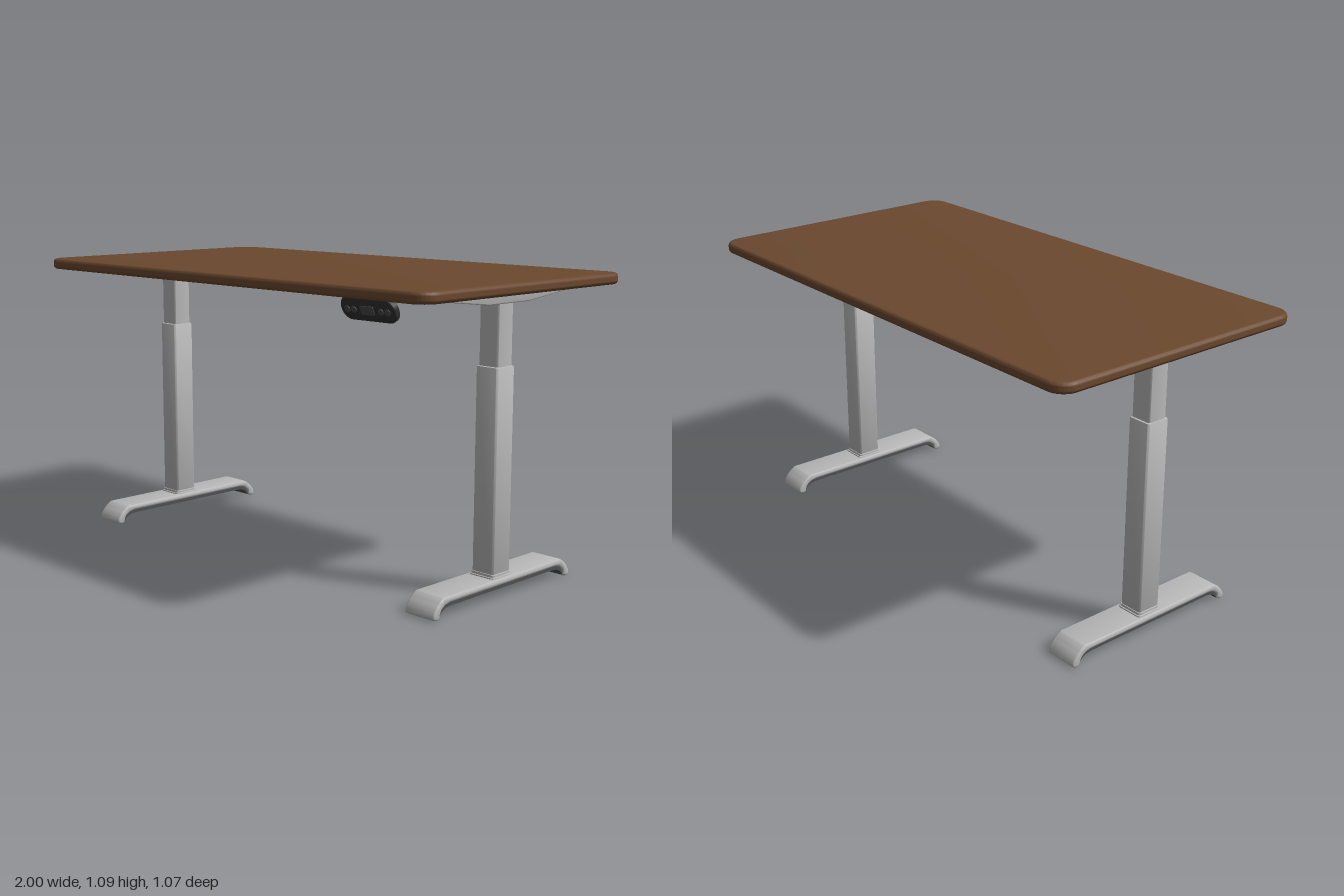
import * as THREE from 'three';
import { toCreasedNormals } from 'three/addons/utils/BufferGeometryUtils.js';

const mat = (name, color) => {
  const m = new THREE.MeshStandardMaterial({ color });
  m.name = name;
  return m;
};

// Rounded rectangle centred on the origin
function roundedRect(w, h, r) {
  const s = new THREE.Shape(), x = w / 2, y = h / 2, q = Math.PI / 2;
  s.absarc(x - r, y - r, r, 0, q);
  s.absarc(-x + r, y - r, r, q, 2 * q);
  s.absarc(-x + r, -y + r, r, 2 * q, 3 * q);
  s.absarc(x - r, -y + r, r, 3 * q, 4 * q);
  return s;
}

// Extrusion centred on z whose bevel stays inside the outline and depth
function extrude(shape, depth, bevel, segments = 4) {
  const g = new THREE.ExtrudeGeometry(shape, {
    depth: depth - 2 * bevel, curveSegments: 8, bevelEnabled: bevel > 0,
    bevelThickness: bevel, bevelSize: bevel, bevelOffset: -bevel, bevelSegments: segments,
  });
  g.translate(0, 0, -(depth - 2 * bevel) / 2);
  return toCreasedNormals(g, 0.6);
}

// Upright rounded block between heights y0 and y1
function block(w, d, y0, y1, r, bevel, segments) {
  const g = extrude(roundedRect(w, d, r), y1 - y0, bevel, segments);
  g.rotateX(-Math.PI / 2);
  return g.translate(0, (y0 + y1) / 2, 0);
}

// Side profile drawn as (z, y), extruded across x
const sideProfile = (shape, width, bevel) => extrude(shape, width, bevel, 3).rotateY(-Math.PI / 2);

function add(parent, name, geometry, material, x = 0, y = 0, z = 0) {
  const m = new THREE.Mesh(geometry, material);
  m.name = name;
  m.position.set(x, y, z);
  parent.add(m);
  return m;
}

export function createModel() {
  const wood = mat('brown wood', 0x6b482e);
  const metal = mat('grey metal', 0xb9b9b9);
  const rubber = mat('dark rubber', 0x505052);
  const plastic = mat('black plastic', 0x2f2f31);
  const button = mat('button grey', 0x48484a);

  const desk = new THREE.Group();
  desk.name = 'desk';
  add(desk, 'tabletop', block(2, 1.07, 1.05, 1.09, 0.07, 0.014, 4), wood);

  // Foot: flat beam with ends curving down to the floor
  const foot = new THREE.Shape();
  foot.moveTo(-0.318, 0.073);
  foot.lineTo(0.318, 0.073);
  foot.bezierCurveTo(0.335, 0.066, 0.368, 0.04, 0.372, 0.014);
  foot.quadraticCurveTo(0.372, 0.002, 0.356, 0.002);
  foot.quadraticCurveTo(0.343, 0.002, 0.341, 0.012);
  foot.quadraticCurveTo(0.335, 0.046, 0.29, 0.05);
  foot.lineTo(-0.29, 0.05);
  foot.quadraticCurveTo(-0.335, 0.046, -0.341, 0.012);
  foot.quadraticCurveTo(-0.343, 0.002, -0.356, 0.002);
  foot.quadraticCurveTo(-0.372, 0.002, -0.372, 0.014);
  foot.bezierCurveTo(-0.368, 0.04, -0.335, 0.066, -0.318, 0.073);
  const footGeo = sideProfile(foot, 0.13, 0.008);

  // Pad filling the underside of the foot
  const pad = new THREE.Shape();
  pad.moveTo(-0.29, 0.055);
  pad.quadraticCurveTo(-0.34, 0.05, -0.348, 0.008);
  pad.lineTo(-0.34, 0.008);
  pad.quadraticCurveTo(-0.325, 0.036, -0.28, 0.037);
  pad.lineTo(0.28, 0.037);
  pad.quadraticCurveTo(0.325, 0.036, 0.34, 0.008);
  pad.lineTo(0.348, 0.008);
  pad.quadraticCurveTo(0.34, 0.05, 0.29, 0.055);
  const padGeo = sideProfile(pad, 0.114, 0);

  // Bracket tapering towards both ends under the tabletop
  const bracket = new THREE.Shape();
  bracket.moveTo(-0.365, 1.051);
  bracket.quadraticCurveTo(-0.34, 1.038, -0.29, 1.034);
  bracket.lineTo(-0.11, 1.013);
  bracket.lineTo(0.11, 1.013);
  bracket.lineTo(0.29, 1.034);
  bracket.quadraticCurveTo(0.34, 1.038, 0.365, 1.051);
  const bracketGeo = sideProfile(bracket, 0.115, 0.004);

  for (const side of [-1, 1]) {
    const leg = new THREE.Group();
    leg.name = side > 0 ? 'leftLeg' : 'rightLeg';
    leg.position.x = side * 0.85;
    desk.add(leg);
    add(leg, 'foot', footGeo, metal);
    add(leg, 'footPad', padGeo, rubber);
    // Stepped weld collar flaring onto the foot
    add(leg, 'weldCollarBase', block(0.108, 0.112, 0.068, 0.078, 0.014, 0.004, 2), metal);
    add(leg, 'weldCollarTop', block(0.099, 0.102, 0.07, 0.087, 0.012, 0.003, 2), metal);
    add(leg, 'lowerColumn', block(0.092, 0.096, 0.06, 0.8, 0.01, 0.007, 2), metal);
    add(leg, 'upperColumn', block(0.082, 0.08, 0.78, 1.02, 0.009, 0, 1), metal);
    add(leg, 'topBracket', bracketGeo, metal);

    // Cross plate and link joining the rail to the bracket
    add(desk, 'crossPlate', block(0.05, 0.5, 1.034, 1.051, 0.006, 0.002, 1), metal, side * 0.71);
    add(desk, 'railLink', block(0.24, 0.08, 1.029, 1.05, 0.004, 0.002, 1), metal, side * 0.7);
    const boss = new THREE.CylinderGeometry(0.025, 0.02, 0.018, 20);
    add(desk, 'railBoss', boss, metal, side * 0.46, 1.024, 0);
  }

  // Shallow rail along the middle of the underside
  add(desk, 'centreRail', block(1.22, 0.14, 1.032, 1.051, 0.004, 0.002, 1), metal);

  // Tilted control panels, one on each long edge
  const panels = [['frontPanel', 0.623, 0.375, 0.245, 0], ['backPanel', -0.647, -0.375, 0.28, Math.PI]];
  for (const [name, x, z, width, turn] of panels) {
    const panel = new THREE.Group();
    panel.name = name;
    panel.position.set(x, 1.001, z);
    panel.rotation.y = turn;
    desk.add(panel);
    const face = new THREE.Group();
    face.name = 'panelFace';
    face.rotation.x = 0.4;
    panel.add(face);
    add(face, 'panelBody', extrude(roundedRect(width, 0.086, 0.04), 0.026, 0.008), plastic);
    add(face, 'display', extrude(roundedRect(0.06, 0.032, 0.006), 0.004, 0), button, 0, 0, 0.0135);
    for (const i of [-3, -2, 2, 3]) {
      const disc = new THREE.CylinderGeometry(0.012, 0.012, 0.004, 16).rotateX(Math.PI / 2);
      add(face, 'panelButton', disc, button, i * 0.03, 0, 0.0135);
    }
    add(panel, 'panelMount', new THREE.BoxGeometry(0.1, 0.03, 0.02), plastic, 0, 0.035, 0.004);
  }
  return desk;
}
